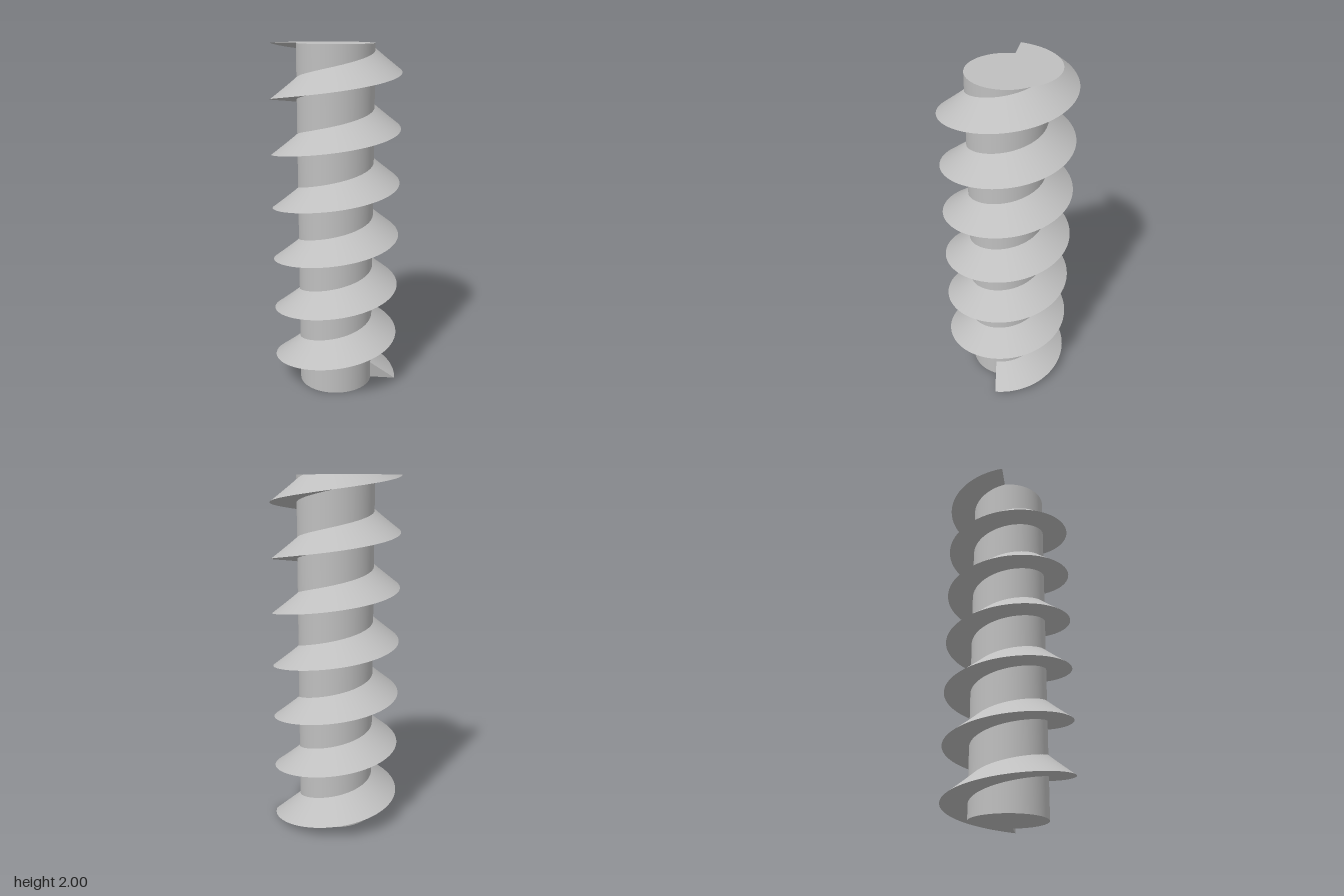
import * as THREE from 'three';

const HEIGHT = 2, CORE = 0.215, ROOT = 0.213, TIP = 0.363;
const TURNS = 6.5, START = -Math.PI / 4, SWEEP = TURNS * Math.PI * 2;
const RISE = 0.112;  // height of the sloped flank
const LEAN = 0.117;  // backward lean of the section, in radians

// Point at an angle measured from the back (-z) towards -x
const at = (angle, r, y) => [-Math.sin(angle) * r, y, -Math.cos(angle) * r];

// Thread section at t = 0..1 along the helix, cut flat at the top of the core
function section(t) {
  const angle = START + t * SWEEP, y = t * HEIGHT;
  const f = Math.min(1, (HEIGHT - y) / RISE);
  const upperY = y + f * RISE, upperAngle = angle - f * LEAN;
  return {
    lower: at(angle, ROOT, y),
    tip: at(angle, TIP, y),
    upper: at(upperAngle, TIP + (ROOT - TIP) * f, upperY),
    topRoot: at(upperAngle, ROOT, upperY),
  };
}

// Smooth ribbon between two named section points
function ribbon(inner, outer, t0, t1, steps) {
  const pos = [], index = [];
  for (let i = 0; i <= steps; i++) {
    const s = section(t0 + (t1 - t0) * i / steps);
    pos.push(...s[inner], ...s[outer]);
    if (i < steps) {
      const a = i * 2;
      index.push(a, a + 1, a + 3, a, a + 3, a + 2);
    }
  }
  return surface(pos, index);
}

function surface(pos, index) {
  const g = new THREE.BufferGeometry();
  g.setAttribute('position', new THREE.Float32BufferAttribute(pos, 3));
  g.setIndex(index);
  g.computeVertexNormals();
  return g;
}

export function createModel() {
  const model = new THREE.Group();
  model.name = 'threadedRod';
  const steel = new THREE.MeshStandardMaterial({ color: 0xbfbfbf });
  steel.name = 'steel grey';
  const add = (name, geometry, parent) => {
    const mesh = new THREE.Mesh(geometry, steel);
    mesh.name = name;
    parent.add(mesh);
    return mesh;
  };

  // Round core
  add('core', new THREE.CylinderGeometry(CORE, CORE, HEIGHT, 96), model).position.y = HEIGHT / 2;

  // Helical thread: sloped top, flat underside, cut top and start face
  const thread = new THREE.Group();
  thread.name = 'thread';
  model.add(thread);
  const steps = TURNS * 96;
  const cutStart = 1 - RISE / HEIGHT;
  add('threadFlank', ribbon('upper', 'tip', 0, 1, steps), thread);
  add('threadUnderside', ribbon('tip', 'lower', 0, 1, steps), thread);
  add('threadTopCut', ribbon('topRoot', 'upper', cutStart, 1, 48), thread);
  const s = section(0);
  add('threadStart', surface([...s.lower, ...s.tip, ...s.upper], [0, 1, 2]), thread);

  return model;
}
